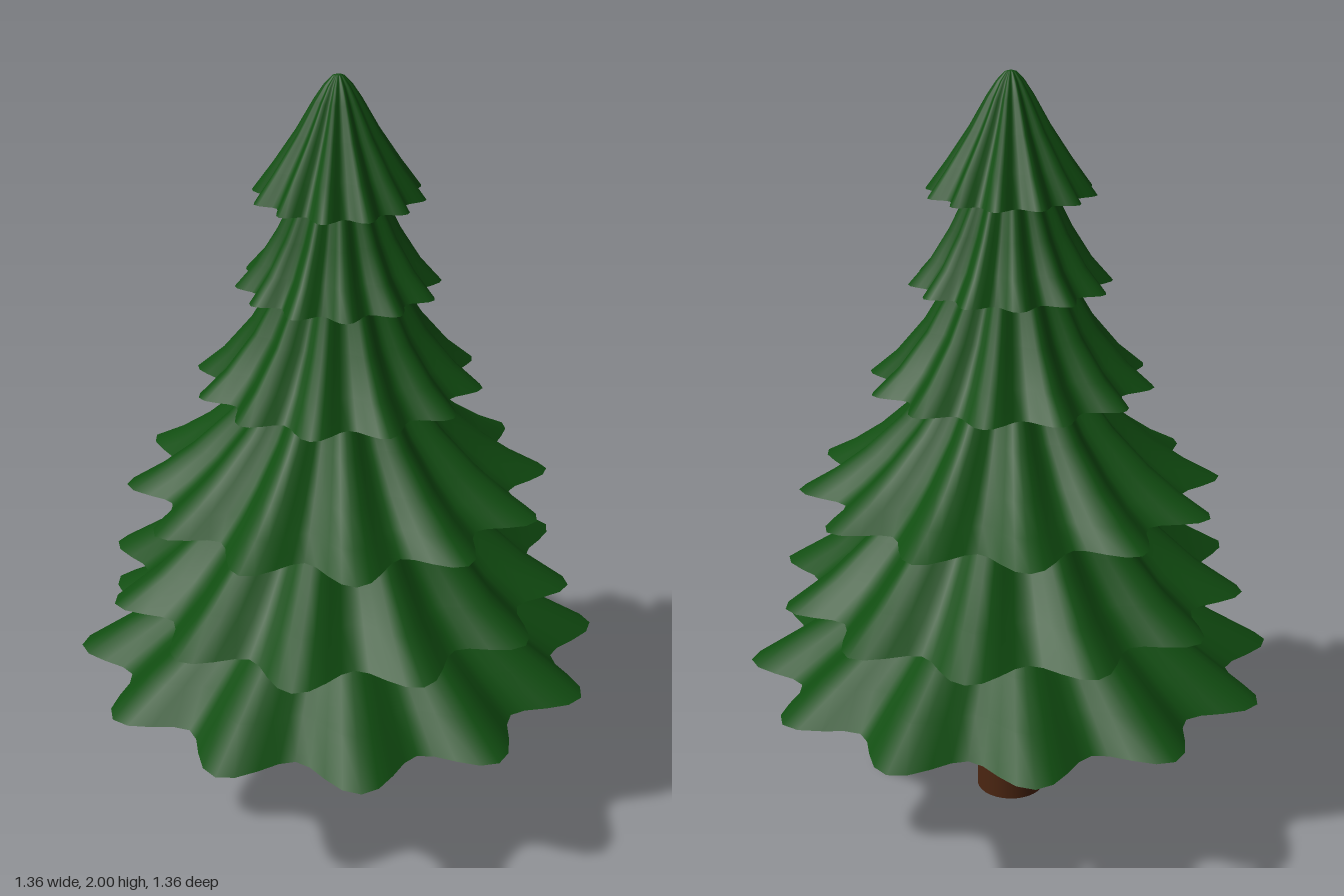
import * as THREE from 'three';
import { mergeVertices } from 'three/addons/utils/BufferGeometryUtils.js';

const LOBES = 12;
const SEGMENTS = LOBES * 8;

// Lathe whose radius is pleated into lobes; points are [radius, y, pleat depth]
function pleatedLathe(points, phase) {
  const profile = points.map(([r, y]) => new THREE.Vector2(r, y));
  const geo = new THREE.LatheGeometry(profile, SEGMENTS);
  const pos = geo.attributes.position;
  for (let i = 0; i < pos.count; i++) {
    const [r, y, depth] = points[i % points.length];
    const angle = (Math.floor(i / points.length) / SEGMENTS) * Math.PI * 2;
    const wave = Math.cos(LOBES * angle + phase);
    const radius = r * (1 - depth * (1 - wave) / 2);
    pos.setXYZ(i, radius * Math.sin(angle), y, radius * Math.cos(angle));
  }
  geo.deleteAttribute('normal');
  geo.deleteAttribute('uv');
  const merged = mergeVertices(geo, 1e-5);
  merged.computeVertexNormals();
  return merged;
}

// Each tier: outer profile from the rim up, as [radius at a lobe, y]
const TIERS = [
  [[0.706, 0.42], [0.58, 0.495], [0.45, 0.575], [0.32, 0.66], [0.2, 0.76]],
  [[0.62, 0.65], [0.5, 0.725], [0.39, 0.82], [0.295, 0.92], [0.18, 1.05]],
  [[0.556, 0.917], [0.47, 0.965], [0.385, 1.025], [0.285, 1.115], [0.21, 1.205], [0.12, 1.33]],
  [[0.372, 1.208], [0.3, 1.27], [0.225, 1.36], [0.165, 1.46], [0.1, 1.58]],
  [[0.26, 1.467], [0.205, 1.53], [0.155, 1.61], [0.115, 1.69], [0.06, 1.8]],
  [[0.217, 1.7], [0.162, 1.775], [0.105, 1.86], [0.06, 1.938], [0.035, 1.975], [0.015, 1.996], [0, 2]],
];
const PLEATS = [0.17, 0.17, 0.19, 0.17, 0.17, 0.17];

export function createModel() {
  const needles = new THREE.MeshStandardMaterial({ color: 0x114d11 });
  needles.name = 'needleGreen';
  const bark = new THREE.MeshStandardMaterial({ color: 0x4a2511 });
  bark.name = 'barkBrown';

  const tree = new THREE.Group();
  tree.name = 'pineTree';

  // Trunk
  const trunk = new THREE.Mesh(new THREE.CylinderGeometry(0.084, 0.094, 0.5, 32), bark);
  trunk.name = 'trunk';
  trunk.position.y = 0.25;
  tree.add(trunk);

  // Branch tiers, lobes staggered by half a step from one to the next
  TIERS.forEach((profile, i) => {
    const phase = i % 2 === 0 && i < 5 ? Math.PI : 0;
    const depth = PLEATS[i];
    const tier = new THREE.Group();
    tier.name = `branchTier${i + 1}`;

    const last = profile.length - 1;
    const skirt = new THREE.Mesh(
      pleatedLathe(profile.map(([r, y], k) => [r, y, depth * (1 - 0.35 * k / last)]), phase),
      needles
    );
    skirt.name = 'skirt';

    // Flat underside closing the tier
    const [rimR, rimY] = profile[0];
    const underside = new THREE.Mesh(
      pleatedLathe([[0, rimY, 0], [rimR, rimY, depth]], phase),
      needles
    );
    underside.name = 'underside';

    tier.add(skirt, underside);
    tree.add(tier);
  });

  return tree;
}
